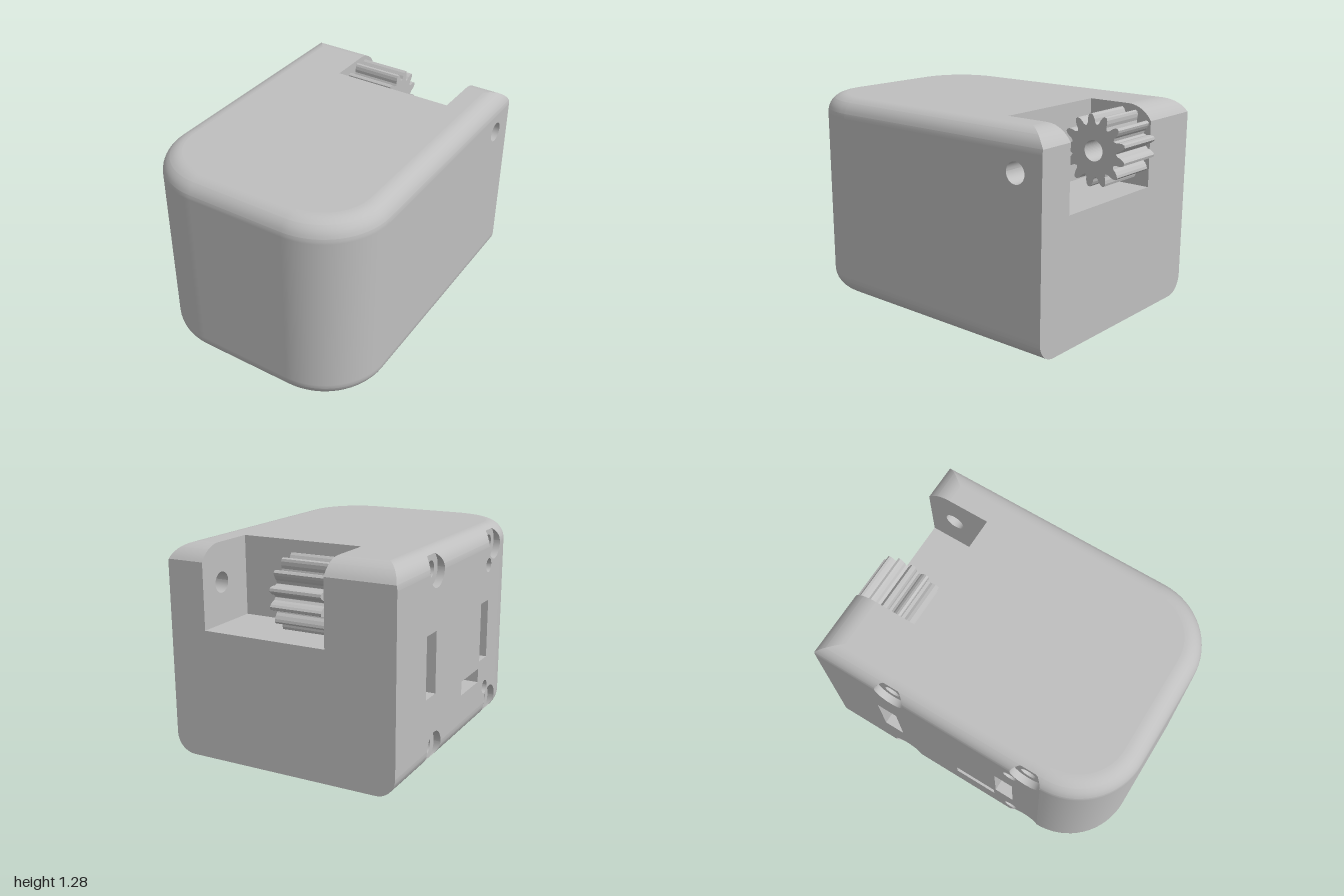
import * as THREE from 'three';

const H = 1.28, W = 0.73, R = 0.12;          // height, half width, edge fillet
const BACK = -0.96, BEND = 0.58, CORNER = 0.42; // back face, start of front corners, plan radius
const PX0 = -0.30, PX1 = 0.49, PZ = -0.53, PY = 0.79; // gear pocket
const AXLE = { y: 1.04, z: -0.78, r: 0.063 };
const BORE = { r: 0.10, y: 1.17, z: [-0.437, 0.485], floor: 0.045 }; // counterbores
const LIP_R = 0.187, LIP_Z = -0.80, LIP_Y = 1.19; // rounded rear top edge

// Fillet inset, and rear limit, at a given height
const inset = (y) => {
  const e = Math.max(R - y, y - (H - R), 0);
  return R - Math.sqrt(Math.max(0, R * R - e * e));
};
const rear = (y) => y <= LIP_Y + 1e-6 ? BACK
  : LIP_Z - Math.sqrt(Math.max(0, LIP_R ** 2 - (y - H + LIP_R) ** 2));

const CLIP = H - R + Math.sqrt(R * R - (R - BORE.floor) ** 2); // counterbore floor meets fillet
const topYs = [LIP_Y, CLIP];
for (let i = 0; i <= 12; i++) topYs.push(H - R + R * Math.sin((i / 12) * Math.PI / 2));
topYs.sort((a, b) => a - b);
const bottomYs = topYs.map((y) => H - y).reverse();

// Surface through rows of points
function grid(rows) {
  const n = rows[0].length, index = [];
  for (let i = 0; i < rows.length - 1; i++) {
    for (let j = 0; j < n - 1; j++) {
      const a = i * n + j, b = a + 1, c = a + n, d = c + 1;
      index.push(a, c, b, b, c, d);
    }
  }
  const g = new THREE.BufferGeometry();
  g.setAttribute('position', new THREE.Float32BufferAttribute(rows.flat(2), 3));
  g.setIndex(index);
  g.computeVertexNormals();
  return g;
}

const circle = (u, v, r, n = 32) => Array.from({ length: n }, (_, i) => {
  const a = (i / n) * Math.PI * 2;
  return [u + r * Math.cos(a), v + r * Math.sin(a)];
});
const rect = (u0, v0, u1, v1) => [[u0, v0], [u1, v0], [u1, v1], [u0, v1]];

// Flat panel from an outline with holes, placed in space by a mapping
function panel(outline, holes, place) {
  const vec = (pts) => pts.map(([u, v]) => new THREE.Vector2(u, v));
  const shape = new THREE.Shape(vec(outline));
  holes.forEach((h) => shape.holes.push(new THREE.Path(vec(h))));
  const g = new THREE.ShapeGeometry(shape), p = g.attributes.position;
  for (let i = 0; i < p.count; i++) p.setXYZ(i, ...place(p.getX(i), p.getY(i)));
  g.computeVertexNormals();
  return g;
}

// Plan outline of the rounded front, from +x round to -x
function frontCurve(d) {
  const pts = [];
  for (const [cx, start] of [[W - CORNER, 0], [CORNER - W, Math.PI / 2]]) {
    for (let i = 0; i <= 16; i++) {
      const a = start + (i / 16) * Math.PI / 2;
      pts.push([cx + (CORNER - d) * Math.cos(a), BEND + (CORNER - d) * Math.sin(a)]);
    }
  }
  return pts;
}

export function createModel() {
  const model = new THREE.Group();
  const grey = new THREE.MeshStandardMaterial({ color: 0xbfbfbf, side: THREE.DoubleSide });
  grey.name = 'plain grey';
  const add = (name, geometry) => {
    const mesh = new THREE.Mesh(geometry, grey);
    mesh.name = name;
    model.add(mesh);
    return mesh;
  };
  const atX = (x) => (z, y) => [x, y, z];
  const atY = (y) => (x, z) => [x, y, z];

  // Rounded front with top and bottom fillets
  add('frontShell', grid([...bottomYs, ...topYs].map((y) => frontCurve(inset(y)).map(([x, z]) => [x, y, z]))));

  // Top and bottom
  add('top', panel([...frontCurve(R), [R - W, LIP_Z], [PX0, LIP_Z], [PX0, PZ], [PX1, PZ], [PX1, LIP_Z], [W - R, LIP_Z]], [], atY(H)));
  add('bottom', panel([...frontCurve(R), [R - W, BACK], [W - R, BACK]], [], atY(0)));

  // Long side fillets, interrupted by the counterbores on the -x side
  function sideFillet(side, upper) {
    const rows = [];
    topYs.forEach((y) => {
      const w = Math.sqrt(Math.max(0, BORE.r ** 2 - (y - BORE.y) ** 2));
      if (y <= CLIP) rows.push([y, w]);
      if (y >= CLIP) rows.push([y, 0]);
    });
    const gaps = side < 0 ? BORE.z : [];
    for (let s = 0; s <= gaps.length; s++) {
      add('sideFillet', grid(rows.map(([y, w]) => {
        const x = side * (W - inset(y)), yy = upper ? y : H - y;
        const z0 = s === 0 ? (upper ? rear(y) : BACK) : gaps[s - 1] + w;
        const z1 = s === gaps.length ? BEND : gaps[s] - w;
        return (side < 0) === upper ? [[x, yy, z1], [x, yy, z0]].reverse() : [[x, yy, z1], [x, yy, z0]];
      })));
    }
  }
  for (const side of [-1, 1]) for (const upper of [true, false]) sideFillet(side, upper);

  // Plain side with the axle hole
  add('axleSide', panel(rect(BACK, R, BEND, H - R), [circle(AXLE.z, AXLE.y, AXLE.r)], atX(W)));

  // Mounting side: slots, pin holes and bites for the counterbores
  const slots = [[-0.57, 0.445, -0.435, 0.82], [0.275, 0.435, 0.40, 0.815], [-0.025, 0.30, 0.26, 0.39]];
  const pins = [[0.387, 1.044], [0.387, 0.23]];
  const lower = [[BACK, R]];
  const bite = Math.asin((R - (H - BORE.y)) / BORE.r);
  for (const z of BORE.z) {
    for (let i = 0; i <= 18; i++) {
      const a = Math.PI - bite - (i / 18) * (Math.PI - 2 * bite);
      lower.push([z + BORE.r * Math.cos(a), H - BORE.y + BORE.r * Math.sin(a)]);
    }
  }
  lower.push([BEND, R]);
  const upperEdge = lower.map(([z, y]) => [z, H - y]).reverse();
  add('mountingSide', panel([...lower, ...upperEdge],
    [...slots.map((s) => rect(...s)), ...pins.map(([z, y]) => circle(z, y, 0.045))], atX(-W)));

  // Recess walls and floor behind an opening
  function recess(name, pts, x0, x1, floor) {
    const loop = [...pts, pts[0]];
    for (let i = 0; i < pts.length; i++) {
      const [a, b] = [loop[i], loop[i + 1]];
      add(name + 'Wall', grid([[[x0, a[1], a[0]], [x0, b[1], b[0]]], [[x1, a[1], a[0]], [x1, b[1], b[0]]]]));
    }
    if (floor) add(name + 'Floor', panel(pts, [], atX(x1)));
  }
  function tube(name, pts, xOuter, x1, floor) {
    const loop = [...pts, pts[0]];
    add(name + 'Wall', grid([loop.map(([z, y]) => [xOuter(y), y, z]), loop.map(([z, y]) => [x1, y, z])]));
    if (floor) add(name + 'Floor', panel(pts, [], atX(x1)));
  }
  slots.forEach((s) => recess('slot', rect(...s), -W, -W + 0.25, true));
  pins.forEach(([z, y]) => tube('pinHole', circle(z, y, 0.045), () => -W, -W + 0.25, true));
  for (const z of BORE.z) {
    for (const y of [BORE.y, H - BORE.y]) {
      const rim = circle(z, y, BORE.r, 48).map(([u, v]) => [u, Math.min(CLIP, Math.max(H - CLIP, v))]);
      const hole = circle(z, y, 0.05);
      const xf = -W + BORE.floor;
      tube('counterbore', rim, (v) => Math.min(xf, -(W - inset(v))), xf, false);
      add('counterboreFloor', panel(rim, [hole], atX(xf)));
      tube('screwHole', hole, () => xf, xf + 0.25, true);
    }
  }
  tube('axleHole', circle(AXLE.z, AXLE.y, AXLE.r), () => W, PX1, false);

  // Back face with the pocket opening
  const edge = [...bottomYs, ...topYs.filter((y) => y <= LIP_Y)].map((y) => [W - inset(y), y]);
  add('back', panel([...edge, [PX1, LIP_Y], [PX1, PY], [PX0, PY], [PX0, LIP_Y],
    ...edge.map(([x, y]) => [-x, y]).reverse()], [], (x, y) => [x, y, BACK]));

  // Rounded rear top edge either side of the pocket
  const lipYs = topYs.filter((y) => y >= LIP_Y);
  add('rearLip', grid(lipYs.map((y) => [[W - inset(y), y, rear(y)], [PX1, y, rear(y)]])));
  add('rearLip', grid(lipYs.map((y) => [[PX0, y, rear(y)], [inset(y) - W, y, rear(y)]])));

  // Gear pocket
  const cheek = [[BACK, PY], [PZ, PY], [PZ, H], ...lipYs.map((y) => [rear(y), y]).reverse()];
  add('pocketCheek', panel(cheek, [circle(AXLE.z, AXLE.y, AXLE.r)], atX(PX1)));
  add('pocketCheek', panel(cheek, [], atX(PX0)));
  add('pocketWall', panel(rect(PX0, PY, PX1, H), [], (x, y) => [x, y, PZ]));
  add('pocketFloor', panel(rect(PX0, BACK, PX1, PZ), [], atY(PY)));

  // Pinion gear with rounded teeth and a bore
  const teeth = 13, outline = [];
  const flank = [[0.150, -0.036], [0.165, -0.026], [0.185, -0.024], [0.205, -0.017], [0.217, -0.008]];
  const tooth = [...flank, ...flank.map(([r, t]) => [r, -t]).reverse()];
  for (let i = 0; i < teeth; i++) {
    const a = ((i + 0.5) / teeth) * Math.PI * 2, c = Math.cos(a), s = Math.sin(a);
    tooth.forEach(([r, t]) => outline.push(new THREE.Vector2(r * c - t * s, r * s + t * c)));
  }
  const gearShape = new THREE.Shape(outline);
  gearShape.holes.push(new THREE.Path().absarc(0, 0, AXLE.r, 0, Math.PI * 2, true));
  const gear = add('gear', new THREE.ExtrudeGeometry(gearShape, { depth: 0.32, bevelEnabled: false, curveSegments: 24 }));
  gear.rotation.y = Math.PI / 2;
  gear.position.set(PX0, AXLE.y, AXLE.z);

  return model;
}
